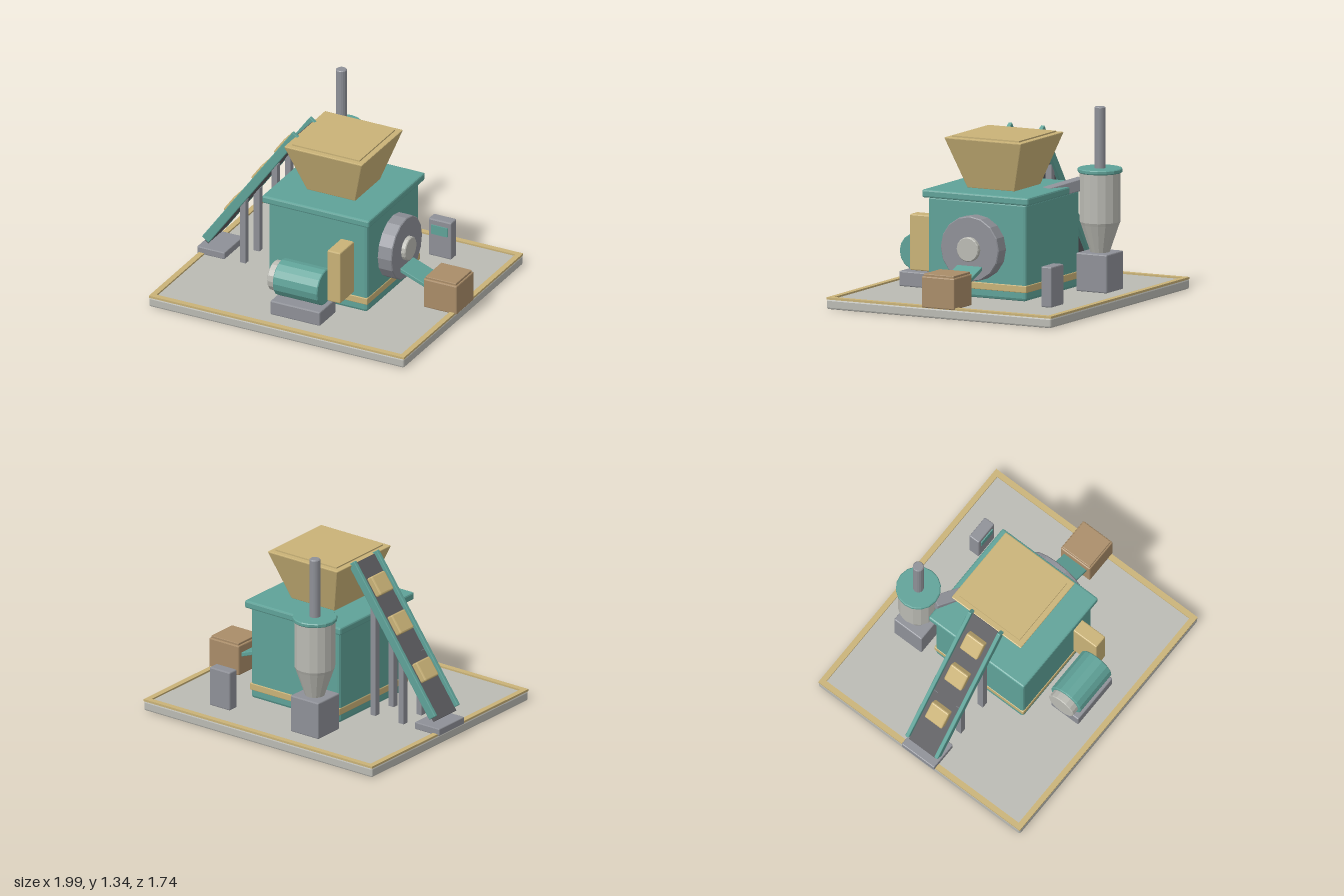
import * as THREE from 'three';
import { RoundedBoxGeometry } from 'three/addons/geometries/RoundedBoxGeometry.js';

const paint = (name, color) => {
  const m = new THREE.MeshStandardMaterial({ color });
  m.name = name;
  return m;
};

export function createModel() {
  const teal = paint('teal', 0x5fa298), yellow = paint('ochre', 0xc9b277);
  const pale = paint('paleGrey', 0xbabab3), steel = paint('steelGrey', 0x8e9097);
  const dark = paint('darkRubber', 0x5c5c60), brown = paint('crateBrown', 0xa98c68);
  const model = new THREE.Group();
  model.name = 'shredderPlant';

  const add = (name, geometry, material, parent = model) => {
    const mesh = new THREE.Mesh(geometry, material);
    mesh.name = name;
    parent.add(mesh);
    return mesh;
  };
  // Box with chamfered edges, given by its limits on each axis
  const box = (name, material, [x0, x1], [y0, y1], [z0, z1], bevel = 0.008, parent = model) => {
    const size = [x1 - x0, y1 - y0, z1 - z0];
    const g = bevel ? new RoundedBoxGeometry(...size, 1, bevel) : new THREE.BoxGeometry(...size);
    g.computeVertexNormals();
    const mesh = add(name, g, material, parent);
    mesh.position.set((x0 + x1) / 2, (y0 + y1) / 2, (z0 + z1) / 2);
    return mesh;
  };
  // Faceted round part turned about the y axis, from [radius, height] points
  const turned = (name, material, points, sides = 16) => {
    const g = new THREE.LatheGeometry(points.map(p => new THREE.Vector2(...p)), sides).toNonIndexed();
    g.computeVertexNormals();
    return add(name, g, material);
  };
  const drum = (r, y0, y1, c = 0.006) => [[0, y0], [r - c, y0], [r, y0 + c], [r, y1 - c], [r - c, y1], [0, y1]];
  // Round part lying along x
  const lying = (name, material, r, x0, x1, y, z) => {
    const mesh = turned(name, material, drum(r, x0, x1));
    mesh.rotation.z = -Math.PI / 2;
    mesh.position.set(0, y, z);
    return mesh;
  };

  // Floor slab with a raised border
  box('floorSlab', pale, [-0.982, 0.982], [0, 0.07], [-0.872, 0.872], 0.012);
  const border = new THREE.Shape();
  const rect = (path, w, h) => path.moveTo(-w, -h).lineTo(w, -h).lineTo(w, h).lineTo(-w, h).closePath();
  rect(border, 0.982, 0.872);
  const hole = new THREE.Path();
  rect(hole, 0.942, 0.832);
  border.holes.push(hole);
  const borderMesh = add('floorBorder', new THREE.ExtrudeGeometry(border, { depth: 0.015, bevelEnabled: false }), yellow);
  borderMesh.rotation.x = -Math.PI / 2;
  borderMesh.position.y = 0.067;

  // Main housing
  box('housing', teal, [-0.32, 0.44], [0.07, 0.745], [-0.38, 0.38], 0.02);
  box('housingLid', teal, [-0.355, 0.47], [0.735, 0.79], [-0.413, 0.413], 0.012);
  box('housingBand', yellow, [-0.324, 0.444], [0.13, 0.18], [-0.386, 0.386], 0.005);

  // Hopper tapering towards its foot
  const hopper = box('hopper', yellow, [-0.245, 0.36], [0.785, 1.143], [-0.302, 0.302], 0.008);
  const p = hopper.geometry.attributes.position;
  for (let i = 0; i < p.count; i++) {
    const t = p.getY(i) / 0.358 + 0.5;
    p.setX(i, p.getX(i) * (0.61 + 0.39 * t));
    p.setZ(i, p.getZ(i) * (0.6 + 0.4 * t));
  }
  hopper.geometry.computeVertexNormals();
  box('hopperFill', yellow, [-0.203, 0.318], [1.13, 1.153], [-0.26, 0.26], 0);

  // Inclined conveyor: local x runs up the slope, local y out of the belt
  const conveyor = new THREE.Group();
  conveyor.name = 'conveyor';
  conveyor.position.set(-0.59, 0.665, 0);
  conveyor.rotation.z = 0.946;
  model.add(conveyor);
  box('conveyorBelt', dark, [-0.615, 0.59], [-0.03, 0], [-0.113, 0.113], 0, conveyor);
  for (const s of [-1, 1]) {
    box('conveyorRail', teal, [-0.59, 0.603], [-0.032, 0.032], [s * 0.126 - 0.014, s * 0.126 + 0.014], 0.005, conveyor);
  }
  for (const u of [-0.273, 0.09, 0.387]) {
    box('conveyorLoad', yellow, [u - 0.072, u + 0.072], [-0.005, 0.05], [-0.074, 0.074], 0.01, conveyor);
  }
  for (const [x, top] of [[-0.653, 0.55], [-0.412, 0.88]]) {
    for (const z of [-0.1, 0.1]) {
      box('conveyorLeg', steel, [x - 0.022, x + 0.022], [0.07, top], [z - 0.022, z + 0.022], 0);
    }
  }
  box('conveyorFoot', steel, [-0.997, -0.785], [0.07, 0.122], [-0.14, 0.14], 0.006);

  // Dust cyclone, its stack and stand
  const cyclone = [
    ['cycloneVessel', pale, [[0, 0.32], [0.062, 0.32], [0.132, 0.525], [0.14, 0.545], [0.14, 0.89], [0, 0.89]]],
    ['cycloneLid', teal, drum(0.154, 0.883, 0.913)],
    ['cycloneStack', steel, drum(0.038, 0.9, 1.335)],
  ];
  for (const [name, material, points] of cyclone) {
    turned(name, material, points).position.set(-0.26, 0, -0.572);
  }
  box('cycloneStand', steel, [-0.38, -0.14], [0.07, 0.335], [-0.69, -0.452], 0.008);

  // Dust duct from the housing to the cyclone
  const a = new THREE.Vector3(-0.25, 0.8, -0.44), b = new THREE.Vector3(0.03, 0.745, -0.28);
  const duct = box('dustDuct', steel, [-0.042, 0.042], [-0.04, 0.04], [-a.distanceTo(b) / 2, a.distanceTo(b) / 2], 0.005);
  duct.position.copy(a).lerp(b, 0.5);
  duct.lookAt(b);

  // Motor and drive guard
  lying('motor', teal, 0.129, -0.112, 0.232, 0.312, 0.588);
  lying('motorCap', pale, 0.106, -0.167, -0.105, 0.312, 0.588);
  box('motorMount', steel, [-0.132, 0.25], [0.07, 0.175], [0.475, 0.71]);
  box('driveGuard', yellow, [0.237, 0.338], [0.203, 0.59], [0.37, 0.578]);

  // Rotor cover on the side
  lying('rotorCover', steel, 0.226, 0.43, 0.546, 0.42, 0);
  lying('rotorHub', pale, 0.085, 0.54, 0.578, 0.42, 0);

  // Discharge chute and crate
  const chute = box('dischargeChute', teal, [-0.15, 0.15], [-0.014, 0.014], [-0.097, 0.097], 0.004);
  chute.position.set(0.645, 0.252, 0);
  chute.rotation.z = -0.36;
  box('crate', brown, [0.74, 0.995], [0.07, 0.287], [-0.127, 0.127]);
  box('crateTop', brown, [0.75, 0.985], [0.28, 0.303], [-0.117, 0.117], 0.004);

  // Control cabinet
  box('controlCabinet', steel, [0.408, 0.583], [0.07, 0.35], [-0.657, -0.575]);
  box('controlScreen', teal, [0.433, 0.558], [0.24, 0.308], [-0.576, -0.567], 0);

  return model;
}
